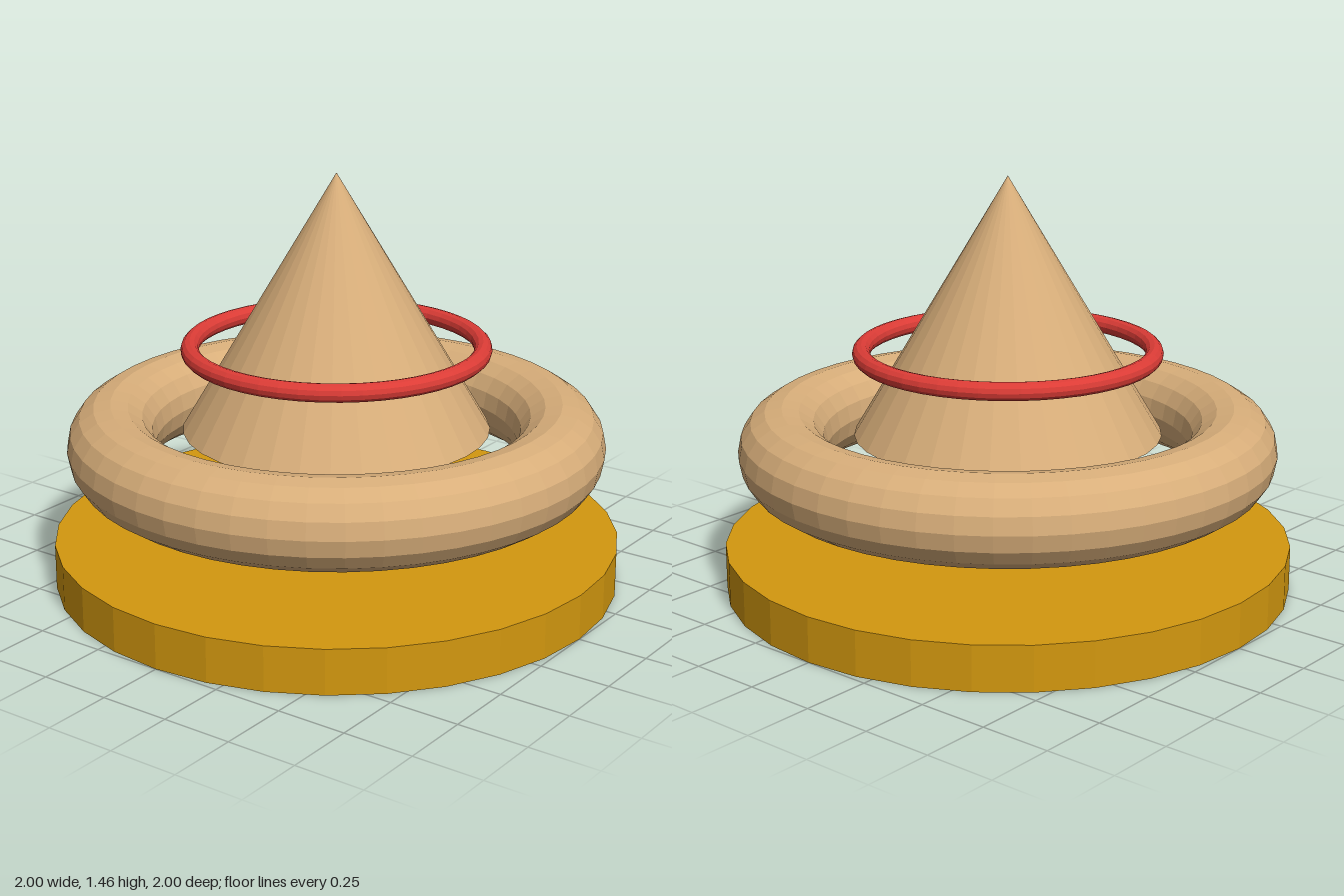
import * as THREE from 'three';

export function createModel() {
  const model = new THREE.Group();
  model.name = 'ringedCone';

  const material = (name, color) => {
    const m = new THREE.MeshStandardMaterial({ color, flatShading: true });
    m.name = name;
    return m;
  };
  const gold = material('gold', 0xd3980f);
  const tan = material('tan', 0xd8ae7a);
  const red = material('red', 0xdc3c36);

  const add = (name, geometry, mat, y) => {
    const mesh = new THREE.Mesh(geometry, mat);
    mesh.name = name;
    mesh.position.y = y;
    model.add(mesh);
  };
  // Torus lying flat around the vertical axis
  const flatRing = (radius, tube, sides, segments) =>
    new THREE.TorusGeometry(radius, tube, sides, segments).rotateX(Math.PI / 2);

  // Round plinth
  add('base', new THREE.CylinderGeometry(1, 1, 0.16, 32), gold, 0.08);

  // Thick ring floating above the plinth
  add('brim', flatRing(0.79, 0.155, 16, 48), tan, 0.5);

  // Pointed cone rising through the brim
  const coneBottom = 0.55, coneTop = 1.46;
  add('cone', new THREE.ConeGeometry(0.54, coneTop - coneBottom, 32), tan, (coneBottom + coneTop) / 2);

  // Thin loose band around the cone
  add('band', flatRing(0.51, 0.032, 12, 48), red, 0.842);

  return model;
}
